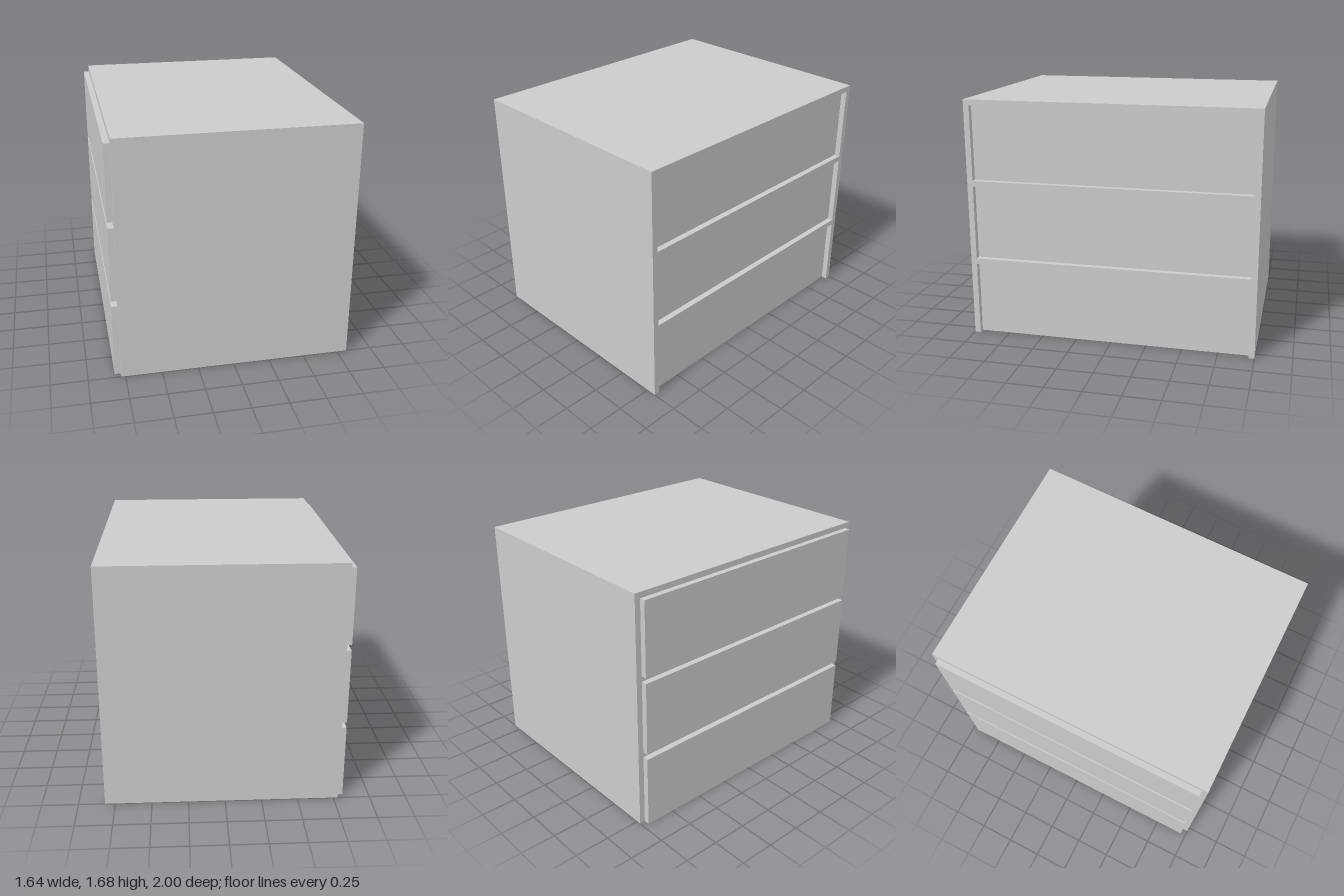
import * as THREE from 'three';

const T = 0.04;                    // wall, slab and panel thickness
const STOREY = 0.56, CLEAR = 0.52; // floor to floor, and clear room height
const X0 = -0.78, X1 = 0.82;       // extent of slabs and end walls

export function createModel() {
  const model = new THREE.Group();
  model.name = 'building';
  const concrete = new THREE.MeshStandardMaterial({ color: 0xcccccc });
  concrete.name = 'light grey concrete';

  // Box given by its minimum and maximum corners
  function box(name, [ax, ay, az], [bx, by, bz], parent = model) {
    const mesh = new THREE.Mesh(new THREE.BoxGeometry(bx - ax, by - ay, bz - az), concrete);
    mesh.position.set((ax + bx) / 2, (ay + by) / 2, (az + bz) / 2);
    mesh.name = name;
    parent.add(mesh);
    return mesh;
  }

  // Solid front and back walls
  box('frontWall', [X0, 0, 0.96], [X1, 1.68, 1]);
  box('backWall', [X0, 0, -1], [X1, 1.68, -0.96]);

  // Each storey: slab above it, recessed left panel, projecting right panel
  for (let i = 0; i < 3; i++) {
    const y = i * STOREY;
    box(i === 2 ? 'roofSlab' : 'floorSlab', [X0, y + CLEAR, -0.96], [X1, y + STOREY, 0.96]);
    box('leftPanel', [X1 - 2 * T, y, -0.96], [X1 - T, y + CLEAR, 0.96]);
    box('rightPanel', [X0 - T, y, -0.96], [X0, y + CLEAR, 0.96]);
  }

  // Open-riser staircase climbing towards +x
  function staircase(y) {
    const stairs = new THREE.Group();
    stairs.name = 'staircase';
    stairs.position.y = y;
    const run = 0.84, foot = -0.42, steps = 12, zBack = -0.54, zFront = -0.29, side = 0.025;

    // Slanted side beams with level feet
    const profile = new THREE.Shape([
      new THREE.Vector2(foot, 0), new THREE.Vector2(foot + 0.06, 0),
      new THREE.Vector2(foot + run, CLEAR - 0.04), new THREE.Vector2(foot + run, CLEAR),
      new THREE.Vector2(foot + run - 0.04, CLEAR), new THREE.Vector2(foot, 0.03),
    ]);
    const beam = new THREE.ExtrudeGeometry(profile, { depth: side, bevelEnabled: false });
    for (const z of [zBack, zFront - side]) {
      const stringer = new THREE.Mesh(beam, concrete);
      stringer.name = 'stringer';
      stringer.position.z = z;
      stairs.add(stringer);
    }

    // Thin treads between the beams
    for (let i = 0; i < steps; i++) {
      const x = foot + (i * run) / steps;
      const top = ((i + 0.75) * CLEAR) / steps;
      box('tread', [x, top - 0.018, zBack + side], [x + 0.065, top, zFront - side], stairs);
    }
    model.add(stairs);
  }
  for (let i = 0; i < 2; i++) staircase(i * STOREY);

  return model;
}
